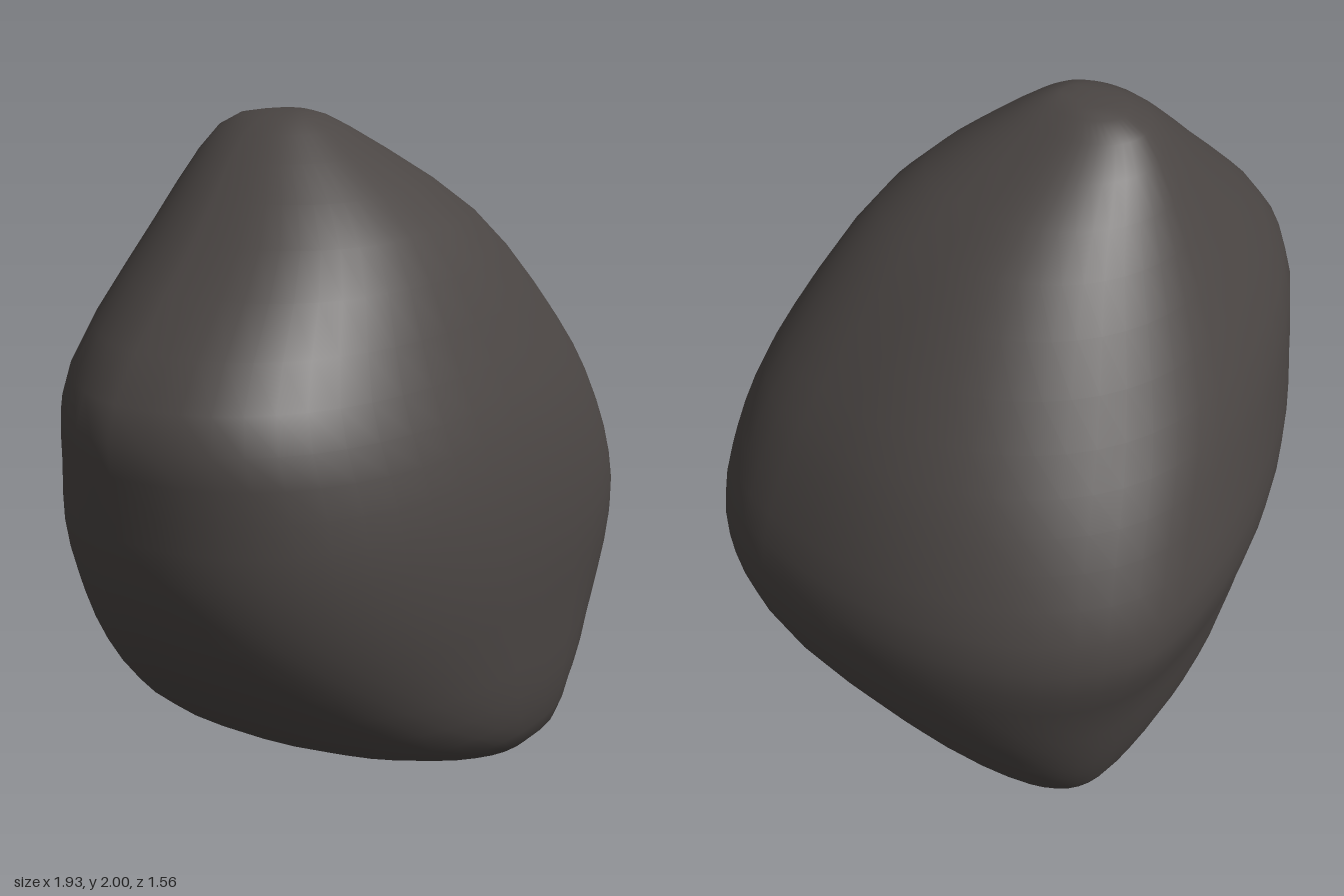
import * as THREE from 'three';

// Key horizontal sections, top to bottom:
// y, left x, right x, front z, back z, x of front extreme, x of back extreme, z of side extremes
const SECTIONS = [
  [2.0, -0.11, -0.04, 0.04, -0.05, -0.08, -0.08, 0.0],
  [1.95, -0.25, 0.08, 0.15, -0.23, -0.08, -0.07, -0.03],
  [1.70, -0.56, 0.43, 0.46, -0.41, -0.08, 0.0, 0.03],
  [1.36, -0.93, 0.73, 0.65, -0.60, -0.05, 0.12, 0.07],
  [1.10, -0.965, 0.88, 0.745, -0.715, -0.02, 0.29, 0.09],
  [0.84, -0.94, 0.96, 0.78, -0.78, 0.02, 0.42, 0.10],
  [0.58, -0.81, 0.92, 0.775, -0.70, 0.07, 0.40, 0.10],
  [0.31, -0.53, 0.78, 0.755, -0.62, 0.15, 0.36, 0.08],
  [0.13, -0.13, 0.65, 0.67, -0.55, 0.23, 0.34, 0.0],
  [0.05, 0.08, 0.56, 0.38, -0.50, 0.30, 0.34, -0.1],
  [0.0, 0.28, 0.42, -0.2, -0.37, 0.35, 0.35, -0.29],
];

// Roundness of the four quarters: right-back, back-left, left-front, front-right
const ROUND_HIGH = [0.97, 1.17, 0.82, 0.7];
const ROUND_LOW = [0.65, 0.88, 0.75, 0.95];
const QUARTER = 12;
const STEPS = 3;

// Smooth in-between section at position t along the list
function sectionAt(t) {
  const last = SECTIONS.length - 1;
  const i = Math.min(Math.floor(t), last - 1);
  const f = t - i;
  const [p, a, b, q] = [i - 1, i, i + 1, i + 2].map((k) => SECTIONS[THREE.MathUtils.clamp(k, 0, last)]);
  return a.map((v, k) => {
    const m0 = (b[k] - p[k]) / 2, m1 = (q[k] - v) / 2, d = b[k] - v;
    return v + f * (m0 + f * (3 * d - 2 * m0 - m1 + f * (m0 + m1 - 2 * d)));
  });
}

// One closed loop made of four superellipse quarters
function sectionPoints([y, xl, xr, zf, zb, xf, xb, zs]) {
  const pts = [];
  const blend = THREE.MathUtils.smoothstep(y, 0.1, 0.85);
  const quarters = [[xr, zb, xb], [xl, zb, xb], [xl, zf, xf], [xr, zf, xf]];
  quarters.forEach(([sx, ez, cx], q) => {
    const e = THREE.MathUtils.lerp(ROUND_LOW[q], ROUND_HIGH[q], blend);
    for (let k = 0; k < QUARTER; k++) {
      const a = (k / QUARTER) * Math.PI / 2;
      let c = Math.cos(a), s = Math.sin(a);
      if (q % 2) [c, s] = [s, c];
      pts.push(cx + (sx - cx) * c ** e, y, zs + (ez - zs) * s ** e);
    }
  });
  return pts;
}

export function createModel() {
  const group = new THREE.Group();
  const stone = new THREE.MeshStandardMaterial({ color: 0x4a4543 });
  stone.name = 'darkStone';

  // Stacked section loops joined into a closed skin
  const n = QUARTER * 4;
  const last = (SECTIONS.length - 1) * STEPS;
  const positions = [];
  const index = [];
  for (let i = 0; i <= last; i++) {
    positions.push(...sectionPoints(sectionAt(i / STEPS)));
    if (i === last) break;
    for (let j = 0; j < n; j++) {
      const k = (j + 1) % n;
      const a = i * n + j, b = a + n, c = (i + 1) * n + k, d = i * n + k;
      index.push(a, b, c, a, c, d);
    }
  }

  // Small caps at the summit and the foot
  const top = positions.length / 3;
  positions.push(-0.08, 2.0, 0.0, 0.35, 0.0, -0.29);
  for (let j = 0; j < n; j++) {
    const k = (j + 1) % n;
    index.push(top, j, k, top + 1, last * n + k, last * n + j);
  }

  const geometry = new THREE.BufferGeometry();
  geometry.setAttribute('position', new THREE.Float32BufferAttribute(positions, 3));
  geometry.setIndex(index);
  geometry.computeVertexNormals();

  const boulder = new THREE.Mesh(geometry, stone);
  boulder.name = 'boulder';
  group.add(boulder);
  return group;
}
